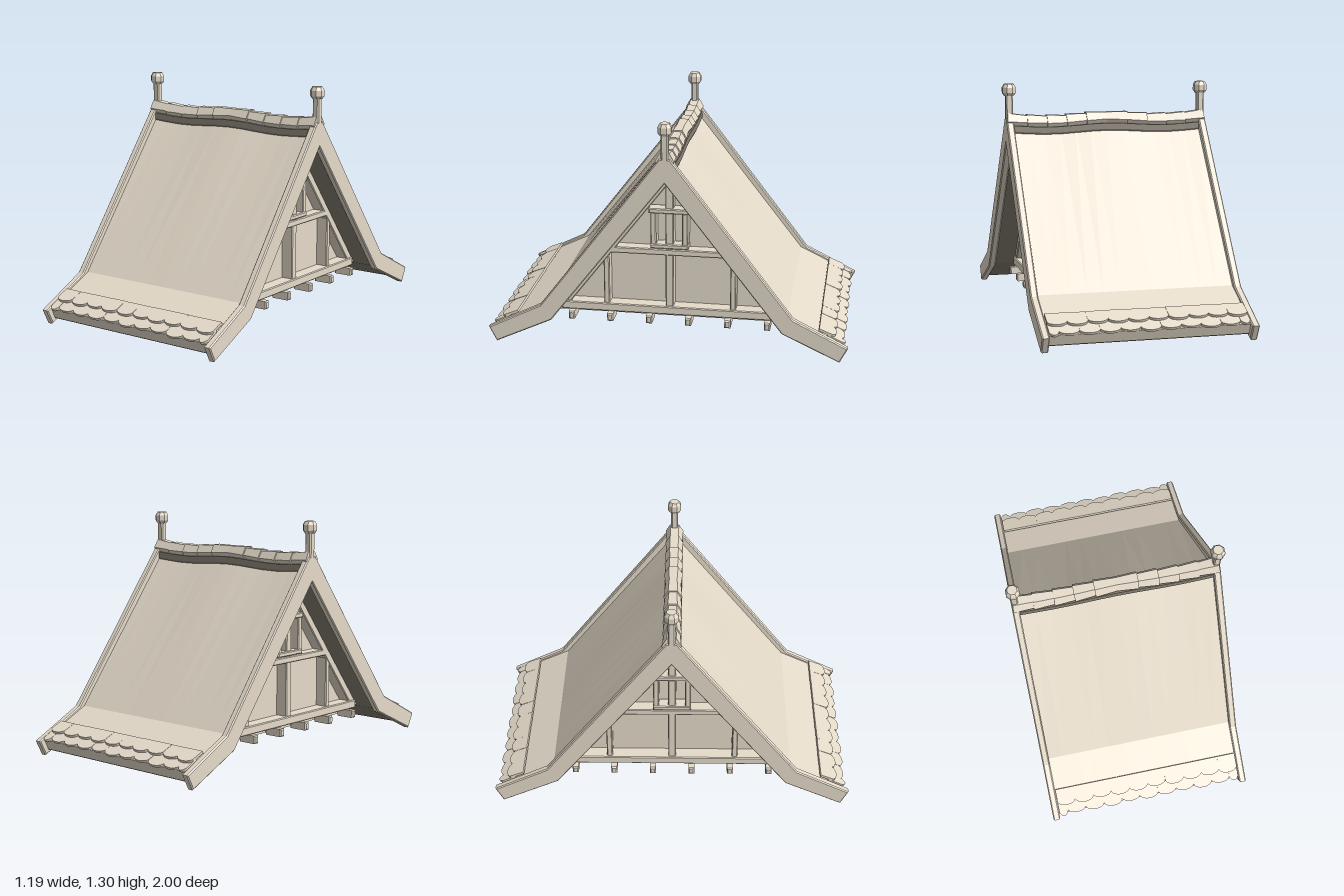
import * as THREE from 'three';

function makeMaterial(name, color) {
  const material = new THREE.MeshStandardMaterial({ color, flatShading: true });
  material.name = name;
  return material;
}
const beige = makeMaterial('warm beige', 0xe5dbca);
const shade = makeMaterial('dark taupe', 0x857e72);

const wave = (x) => 0.008 * Math.cos((x * Math.PI) / 0.33);

function add(parent, name, geometry, x = 0, y = 0, z = 0, material = beige) {
  const mesh = new THREE.Mesh(geometry, material);
  mesh.name = name;
  mesh.position.set(x, y, z);
  parent.add(mesh);
  return mesh;
}

// Solid from a [z, y] outline, extruded along x and centred on x = 0
function acrossX(points, width, bevel = 0, steps = 1) {
  const shape = new THREE.Shape(points.map(([z, y]) => new THREE.Vector2(z, y)));
  const g = new THREE.ExtrudeGeometry(shape, {
    depth: width - 2 * bevel, steps, bevelEnabled: bevel > 0,
    bevelThickness: bevel, bevelSize: bevel, bevelOffset: -bevel, bevelSegments: 1,
  });
  return g.translate(0, 0, -(width - 2 * bevel) / 2).rotateY(-Math.PI / 2);
}

// Mirrors the +z half of an arch: outer edge apex to eave, then inner edge eave to apex
function arch(outer, inner) {
  const flip = (list) => list.filter(([z]) => z > 0).map(([z, y]) => [-z, y]).reverse();
  return [...outer, ...inner, ...flip(inner), ...flip(outer)];
}

const rect = (w, h) => [[-w / 2, -h / 2], [w / 2, -h / 2], [w / 2, h / 2], [-w / 2, h / 2]];

// Bends a geometry with the wave of the ridge, fading out towards the eaves
function sag(g) {
  const p = g.attributes.position;
  for (let i = 0; i < p.count; i++) {
    const t = Math.max(0, (p.getY(i) - 0.235) / 0.85);
    p.setY(i, p.getY(i) + t * wave(p.getX(i)));
  }
  g.computeVertexNormals();
  return g;
}

// Bevelled timber between two [z, y] points on the gable face
function timber(parent, name, a, b, width, x, depth) {
  const dz = b[0] - a[0], dy = b[1] - a[1];
  const mesh = add(parent, name, acrossX(rect(Math.hypot(dz, dy), width), depth, 0.005),
    x, (a[1] + b[1]) / 2, (a[0] + b[0]) / 2);
  mesh.rotation.x = -Math.atan2(dy, dz);
}

function makeGable() {
  const gable = new THREE.Group();
  add(gable, 'gableWall', acrossX([[0, 1.0], [-0.665, 0.12], [0.665, 0.12]], 0.03), 0.335);

  // Timber frame
  const x = 0.385, d = 0.075;
  timber(gable, 'sillBeam', [-0.61, 0.182], [0.61, 0.182], 0.047, x + 0.005, d + 0.01);
  timber(gable, 'collarBeam', [-0.335, 0.525], [0.335, 0.525], 0.036, x, d);
  timber(gable, 'kingPost', [0, 0.2], [0, 0.95], 0.044, x - 0.003, d);
  for (const s of [-1, 1]) {
    timber(gable, 'rafter', [s * 0.62, 0.163], [0, 0.965], 0.045, x, d);
    timber(gable, 'sidePost', [s * 0.355, 0.2], [s * 0.355, 0.51], 0.032, x - 0.003, d);
    timber(gable, 'windowJamb', [s * 0.088, 0.55], [s * 0.088, 0.77], 0.032, x + 0.005, d);
  }
  timber(gable, 'windowLintel', [-0.112, 0.767], [0.112, 0.767], 0.028, x + 0.01, d);
  timber(gable, 'windowSill', [-0.105, 0.562], [0.105, 0.562], 0.026, x + 0.01, d);

  // Joist ends under the sill
  for (let i = 0; i < 6; i++) {
    add(gable, 'joistEnd', acrossX(rect(0.034, 0.045), 0.115, 0.007), 0.41, 0.134, -0.55 + i * 0.22);
  }

  // Bargeboards with post and finial at the peak
  const board = arch(
    [[0.03, 1.11], [0.7, 0.235], [1.0, 0.085], [0.957, 0]],
    [[0.64, 0.148], [0, 0.973]]);
  add(gable, 'bargeboard', acrossX(board, 0.04, 0.006), 0.56);
  const c = 0.02, e = 0.013;
  const post = acrossX([[-e, -c], [e, -c], [c, -e], [c, e], [e, c], [-e, c], [-c, e], [-c, -e]], 0.17);
  add(gable, 'finialPost', post.rotateZ(Math.PI / 2), 0.56, 1.165, 0);
  const knob = [[0, 1.238], [0.029, 1.238], [0.04, 1.254], [0.04, 1.284], [0.028, 1.304], [0, 1.304]];
  add(gable, 'finialKnob',
    new THREE.LatheGeometry(knob.map(([r, y]) => new THREE.Vector2(r, y)), 8, Math.PI / 8), 0.56);
  return gable;
}

// Two overlapping rows of round-ended tiles along one eave
function makeEaveTiles() {
  const eave = new THREE.Group();
  eave.position.set(0, 0.235, 0.665);
  eave.rotation.x = Math.atan2(0.145, 0.3);
  const rows = [
    { start: 0.185, end: 0.287, tilt: 0.06, count: 10, shift: 0 },
    { start: 0.24, end: 0.347, tilt: 0.005, count: 11, shift: 0.5 },
  ];
  for (const { start, end, tilt, count, shift } of rows) {
    for (let i = 0; i < count; i++) {
      const pitch = 0.108;
      const x0 = Math.max(-0.538, -0.54 + (i - shift) * pitch);
      const x1 = Math.min(0.538, -0.54 + (i + 1 - shift) * pitch);
      const tip = end + 0.004 * Math.sin(i * 2.3 + shift * 4);
      const shape = new THREE.Shape();
      shape.moveTo(x0, -start);
      shape.lineTo(x0, -(tip - 0.025));
      shape.bezierCurveTo(x0 + 0.015, -(tip + 0.007), x1 - 0.015, -(tip + 0.007), x1, -(tip - 0.025));
      shape.lineTo(x1, -start);
      const g = new THREE.ExtrudeGeometry(shape, { depth: 0.014, bevelEnabled: false, curveSegments: 8 });
      const tile = add(eave, 'eaveTile', g.rotateX(-Math.PI / 2));
      tile.rotation.x = -tilt + 0.005 * Math.sin(i * 1.7);
    }
  }
  return eave;
}

export function createModel() {
  const model = new THREE.Group();
  model.name = 'gabledRoof';

  // Roof shell, gently waved towards the ridge, with a dark lining underneath
  add(model, 'roofShell', sag(acrossX(arch(
    [[0, 1.085], [0.665, 0.235], [0.965, 0.09], [0.942, 0.036]],
    [[0.642, 0.172], [0, 1.0]]), 1.08, 0, 12)));
  add(model, 'roofLining', sag(acrossX(arch(
    [[0, 1.0], [0.642, 0.172], [0.942, 0.036]],
    [[0.938, 0.03], [0.64, 0.165], [0, 0.992]]), 1.08, 0, 12)), 0, 0, 0, shade);

  // Dark bed under the ridge tiles
  add(model, 'ridgeBed', sag(acrossX([[-0.042, 1.018], [0.042, 1.018], [0.05, 1.036],
    [0.046, 1.068], [-0.046, 1.068], [-0.05, 1.036]], 1.08, 0, 12)), 0, 0, 0, shade);

  // Ridge tiles, lapped from the middle outwards
  const ridge = new THREE.Group();
  ridge.name = 'ridgeTiles';
  for (let i = 0; i < 10; i++) {
    const x = -0.5125 + i * 0.1139;
    const g = new THREE.CylinderGeometry(0.052, 0.043, 0.125, 6);
    g.rotateZ(x < 0 ? Math.PI / 2 : -Math.PI / 2);
    const tile = add(ridge, 'ridgeTile', g, x, 1.09 + wave(x), 0);
    tile.rotation.z = (wave(x + 0.05) - wave(x - 0.05)) / 0.1 + 0.02 * Math.sin(i * 2.1);
  }
  model.add(ridge);

  // Both gables and both eaves
  for (const [i, side] of ['left', 'right'].entries()) {
    const gable = makeGable();
    gable.name = side + 'Gable';
    gable.rotation.y = i * Math.PI;
    model.add(gable);

    const turn = new THREE.Group();
    turn.name = i ? 'backEave' : 'frontEave';
    turn.rotation.y = i * Math.PI;
    turn.add(makeEaveTiles());
    model.add(turn);
  }
  return model;
}
